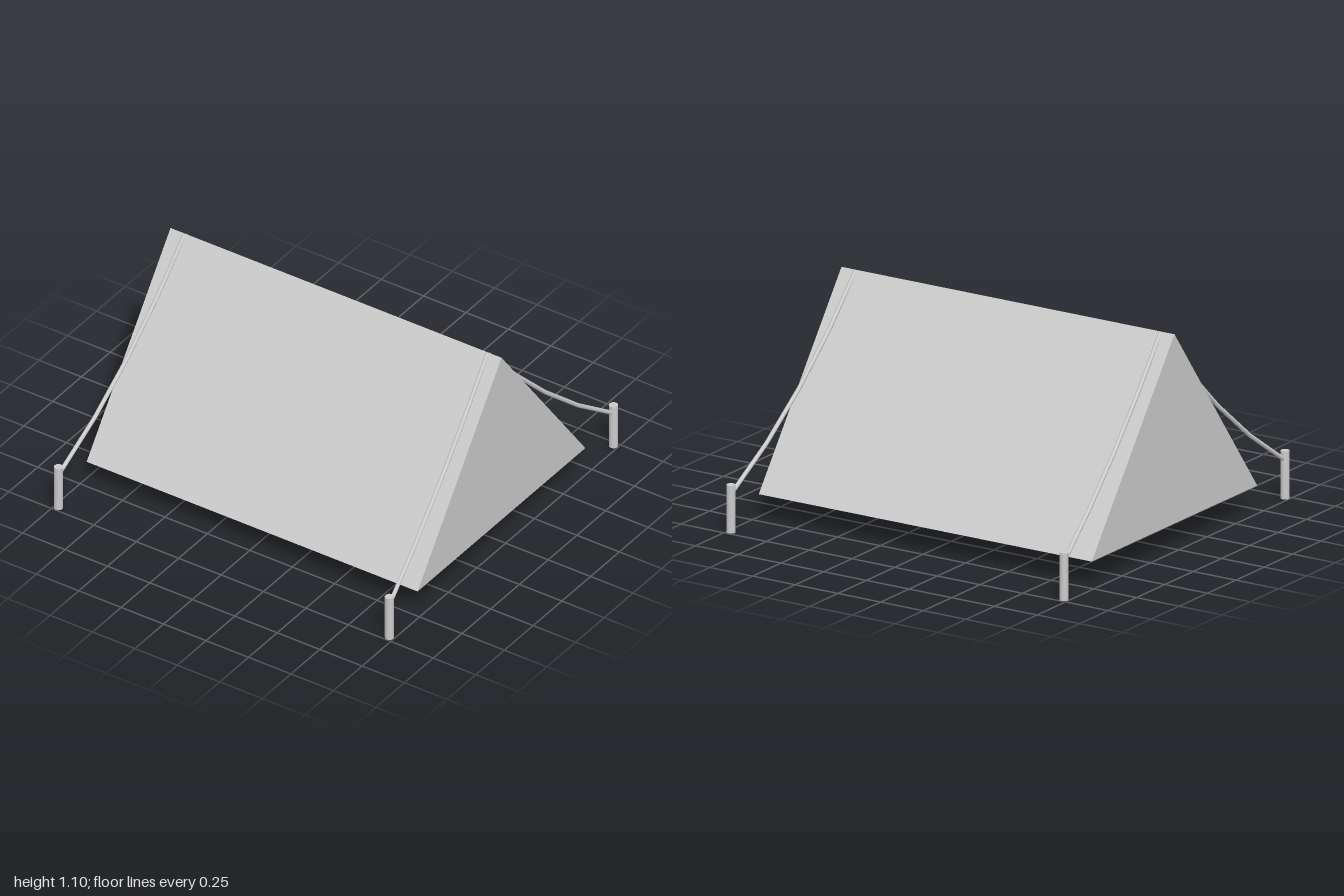
import * as THREE from 'three';

const HALF = 0.975; // half length of the tent, also the peg offset

export function createModel() {
  const model = new THREE.Group();
  model.name = 'tent';
  const material = new THREE.MeshStandardMaterial({ color: 0xcccccc });

  function add(name, geometry) {
    const mesh = new THREE.Mesh(geometry, material);
    mesh.name = name;
    model.add(mesh);
    return mesh;
  }

  // Canvas: closed triangular prism with its ridge along x
  const section = new THREE.Shape([
    new THREE.Vector2(-0.73, 0.13),
    new THREE.Vector2(0.73, 0.13),
    new THREE.Vector2(0, 1.1),
  ]);
  const canvas = new THREE.ExtrudeGeometry(section, { depth: 2 * HALF, bevelEnabled: false });
  canvas.translate(0, 0, -HALF).rotateY(Math.PI / 2);
  add('canvas', canvas);

  // A peg at each corner, with a sagging guy rope up to the ridge
  for (const sx of [1, -1]) {
    for (const sz of [1, -1]) {
      const label = (sz > 0 ? 'front' : 'back') + (sx > 0 ? 'Left' : 'Right');

      const peg = add(label + 'Peg', new THREE.CylinderGeometry(0.023, 0.023, 0.245, 12));
      peg.position.set(sx * HALF, 0.1225, sz * HALF);

      const sag = new THREE.QuadraticBezierCurve3(
        new THREE.Vector3(sx * HALF, 0.195, sz * HALF),
        new THREE.Vector3(sx * 0.916, 0.52, sz * 0.475),
        new THREE.Vector3(sx * 0.893, 1.093, 0),
      );
      add(label + 'Rope', new THREE.TubeGeometry(sag, 4, 0.011, 8));
    }
  }
  return model;
}
